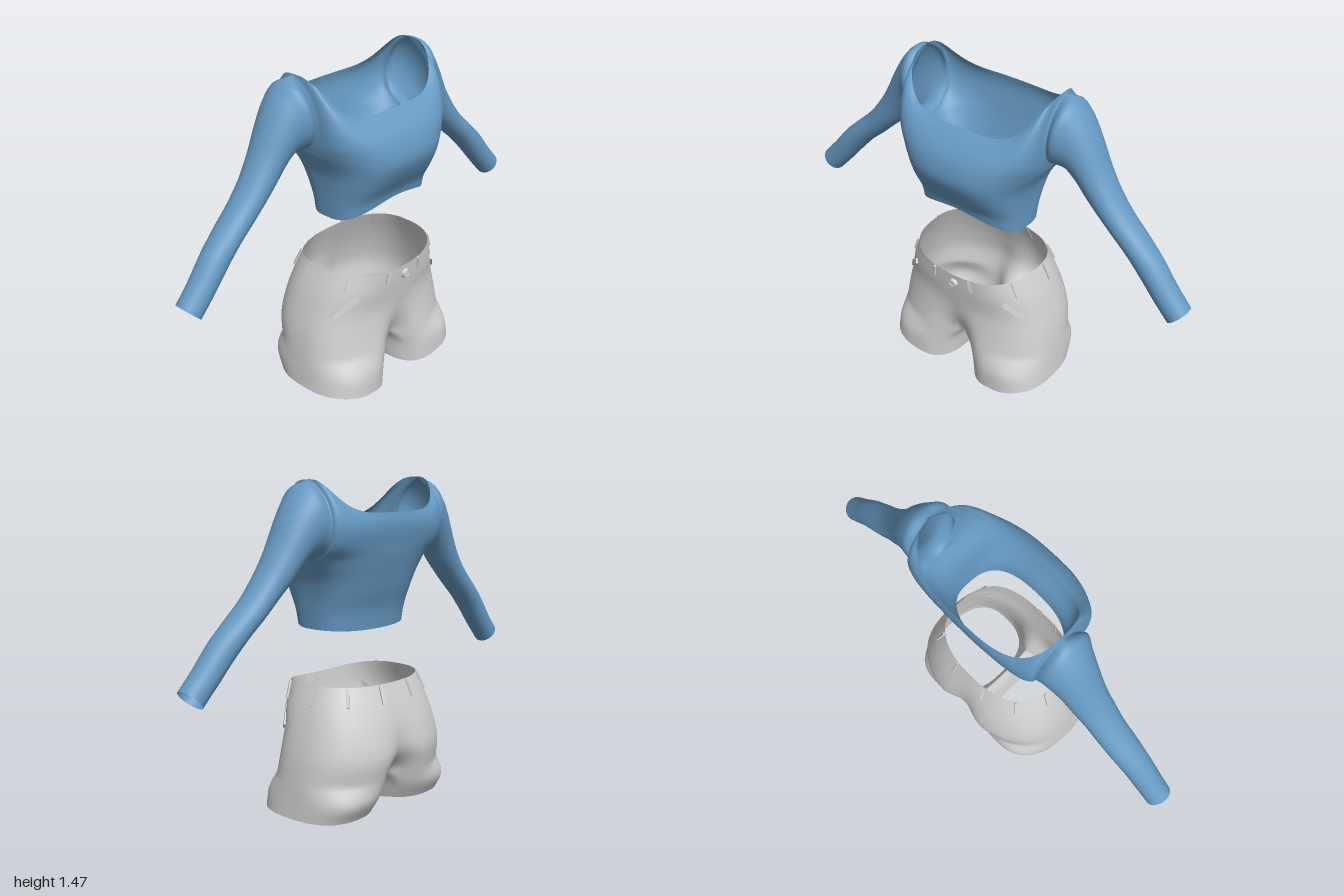
import * as THREE from 'three';
import { mergeGeometries, mergeVertices } from 'three/addons/utils/BufferGeometryUtils.js';

const V = (x, y, z) => new THREE.Vector3(x, y, z);
const spline = pts => new THREE.CatmullRomCurve3(pts.map(p => (p.isVector3 ? p : V(...p))));

// Grid surface of (ni+1) x (nj+1) points from a rule
function grid(fn, ni, nj, flip) {
  const pos = [], idx = [];
  for (let j = 0; j <= nj; j++) for (let i = 0; i <= ni; i++) pos.push(...fn(i, j).toArray());
  for (let j = 0; j < nj; j++) for (let i = 0; i < ni; i++) {
    const a = j * (ni + 1) + i, b = a + 1, c = b + ni + 1, d = a + ni + 1;
    if (flip) idx.push(a, c, b, a, d, c);
    else idx.push(a, b, c, a, c, d);
  }
  const g = new THREE.BufferGeometry();
  g.setAttribute('position', new THREE.Float32BufferAttribute(pos, 3));
  g.setIndex(idx);
  return g;
}

// Mirror a half garment over x = 0 and weld it into one smooth surface
function garment(parts) {
  const half = mergeGeometries(parts), other = half.clone().scale(-1, 1, 1);
  other.setIndex([...half.index.array].reverse());
  const whole = mergeVertices(mergeGeometries([half, other]), 1e-4);
  whole.computeVertexNormals();
  return whole;
}

// Point on a rounded arc from the centre line C (s = 0) to the side E (s = 1)
function arc(C, E, s, n, lift) {
  const k = Math.pow(Math.max(0, 1 - Math.pow(s, n)), 1 / n);
  return V(E.x * s, C.y + (E.y - C.y) * Math.pow(s, lift), E.z + (C.z - E.z) * k);
}

function cropTop() {
  const ROWS = 32, COLS = 24, H = ROWS / 2;
  // Centre lines, hem to neckline
  const front = spline([[0, .905, .2], [0, .94, .212], [0, 1.02, .262], [0, 1.1, .295], [0, 1.17, .288],
    [0, 1.22, .265], [0, 1.255, .235], [0, 1.28, .205], [0, 1.295, .178]]);
  const back = spline([[0, .83, -.12], [0, .92, -.135], [0, 1.0, -.163], [0, 1.08, -.187], [0, 1.15, -.207],
    [0, 1.21, -.22], [0, 1.26, -.23], [0, 1.3, -.232], [0, 1.335, -.226]]);
  // Side seam up to the armpit, then the two armhole seams up to the shoulder
  const pit = [.33, 1.14, -.04], tip = [.345, 1.472, -.05];
  const side = spline([[.257, .84, .03], [.262, .9, .03], [.27, .98, .01], [.287, 1.06, -.02], pit]);
  const holeF = spline([pit, [.34, 1.2, .045], [.345, 1.29, .07], [.345, 1.39, .035], tip]);
  const holeB = spline([pit, [.34, 1.2, -.145], [.345, 1.29, -.175], [.345, 1.39, -.14], tip]);
  const edge = (hole, j) => (j <= H ? side.getPoint(j / H) : hole.getPoint((j - H) / H));
  const panel = (centre, hole, n, flip) => grid((i, j) => {
    const t = j / ROWS;
    return arc(centre.getPoint(t), edge(hole, j), Math.sin(i / COLS * Math.PI / 2), n, 2 + 3 * t);
  }, COLS, ROWS, flip);

  // Sleeve sections: top x, y, bottom x, y, centre z, half depth
  const sections = [
    [.39, 1.458, .36, 1.158, -.045, .128], [.44, 1.415, .40, 1.15, -.05, .112],
    [.495, 1.335, .45, 1.105, -.05, .096], [.56, 1.21, .50, 1.05, -.047, .084],
    [.62, 1.115, .555, 1.0, -.042, .077], [.69, 1.03, .625, .935, -.04, .072],
    [.77, .955, .70, .87, -.036, .069], [.85, .88, .775, .79, -.03, .064],
    [.93, .785, .85, .705, -.025, .06], [1.0, .71, .92, .63, -.022, .057]];
  const lines = [];
  for (let i = 0; i <= 2 * H; i++) {
    const f = i / H * Math.PI, c = (1 - Math.cos(f)) / 2;
    const start = i <= H ? edge(holeF, H + i) : edge(holeB, 3 * H - i);
    lines.push(spline([start, ...sections.map(([tx, ty, bx, by, z, d]) =>
      V(bx + (tx - bx) * c, by + (ty - by) * c, z + d * Math.sin(f)))]));
  }
  const sleeve = grid((i, j) => lines[i].getPoint(j / 40), 2 * H, 40, true);
  return garment([panel(front, holeF, 3, false), panel(back, holeB, 2.6, true), sleeve]);
}

// Shorts: front and back lines hold (centre dent, y, z), waist to crotch
const sFront = spline([[0, .58, .25], [0, .5, .242], [0, .4, .228], [.025, .3, .235], [.08, .2, .25]]);
const sBack = spline([[0, .603, -.205], [.008, .5, -.248], [.02, .4, -.28], [.045, .3, -.297], [.11, .2, -.28]]);
const sSide = spline([[.293, .608, 0], [.337, .5, -.01], [.368, .4, -.02], [.392, .3, -.02], [.406, .2, -.01]]);

// a runs from front centre (0) round the side to back centre (PI); t from waist to crotch
function hip(a, t) {
  const isFront = a <= Math.PI / 2;
  const C = (isFront ? sFront : sBack).getPoint(t);
  const p = arc(C, sSide.getPoint(t), Math.sin(a), isFront ? 2.7 : 2.4, 2);
  p.z -= (isFront ? 1 : -1) * C.x * Math.exp(-((p.x / .08) ** 2));
  return p;
}

function shorts() {
  const N = 48, M = 16;
  const body = grid((i, j) => hip(i / N * Math.PI, j / 24), N, 24, true);
  const z0 = hip(0, 1).z, z1 = hip(Math.PI, 1).z;
  const rad = THREE.MathUtils.degToRad;
  const round = v => Math.sign(v) * Math.pow(Math.abs(v), .8);
  // Closed leg section running in step with the crotch ring
  const loop = (i, inner, outer, zf, zb, y, dip) => {
    const f = rad(i <= N ? -50 + 280 * i / N : 230 + 80 * (i - N) / M);
    return V((inner + outer) / 2 + (outer - inner) / 2 * round(Math.sin(f)),
      y - dip * Math.max(0, Math.cos(f + rad(40))) ** 2,
      (zf + zb) / 2 + (zf - zb) / 2 * round(Math.cos(f)));
  };
  const lines = [];
  for (let i = 0; i <= N + M; i++) {
    const k = (i - N) / M;
    const top = i <= N ? hip(i / N * Math.PI, 1)
      : V(0, .2 - .03 * Math.sin(k * Math.PI), z1 + (z0 - z1) * k);
    lines.push(spline([top, loop(i, .025, .413, .26, -.255, .12, .01), loop(i, .045, .42, .265, -.212, .04, .04)]));
  }
  return garment([body, grid((i, j) => lines[i].getPoint(j / 12), N + M, 12, true)]);
}

export function createModel() {
  const group = new THREE.Group();
  const blue = new THREE.MeshStandardMaterial({ name: 'blue knit', color: 0x6699c2, side: THREE.DoubleSide });
  const grey = new THREE.MeshStandardMaterial({ name: 'pale grey denim', color: 0xd0d0d0, side: THREE.DoubleSide });
  const add = (name, geo, mat) => {
    const m = new THREE.Mesh(geo, mat);
    m.name = name;
    group.add(m);
    return m;
  };
  add('cropTop', cropTop(), blue);
  add('shorts', shorts(), grey);

  // Thin strips laid on the shorts, on both sides
  const strip = (name, p, q, width) => {
    const up = p.clone().sub(q), len = up.length();
    up.normalize();
    const mid = p.clone().add(q).multiplyScalar(.5);
    const across = up.clone().cross(V(mid.x, 0, mid.z)).normalize();
    const out = across.clone().cross(up);
    const frame = new THREE.Matrix4().makeBasis(across, up, out).setPosition(mid.addScaledVector(out, .004));
    const geo = new THREE.BoxGeometry(width, len, .009).applyMatrix4(frame);
    add(name + 'Left', geo, grey);
    add(name + 'Right', geo, grey).scale.x = -1;
  };
  // Belt loops
  [.32, 1.08, 1.65, 2.25, 2.85].forEach(a => strip('beltLoop', hip(a, .01), hip(a, .19), .012));
  // Slanted pocket welts
  strip('pocketWelt', hip(.8, .25), hip(1.1, .48), .026);

  // Waist button
  const button = add('button', new THREE.CylinderGeometry(.02, .023, .012, 20), grey);
  button.rotation.x = Math.PI / 2;
  button.position.set(.01, .535, .252);
  const rim = add('buttonRim', new THREE.TorusGeometry(.016, .004, 8, 20), grey);
  rim.position.set(.01, .535, .258);
  return group;
}
